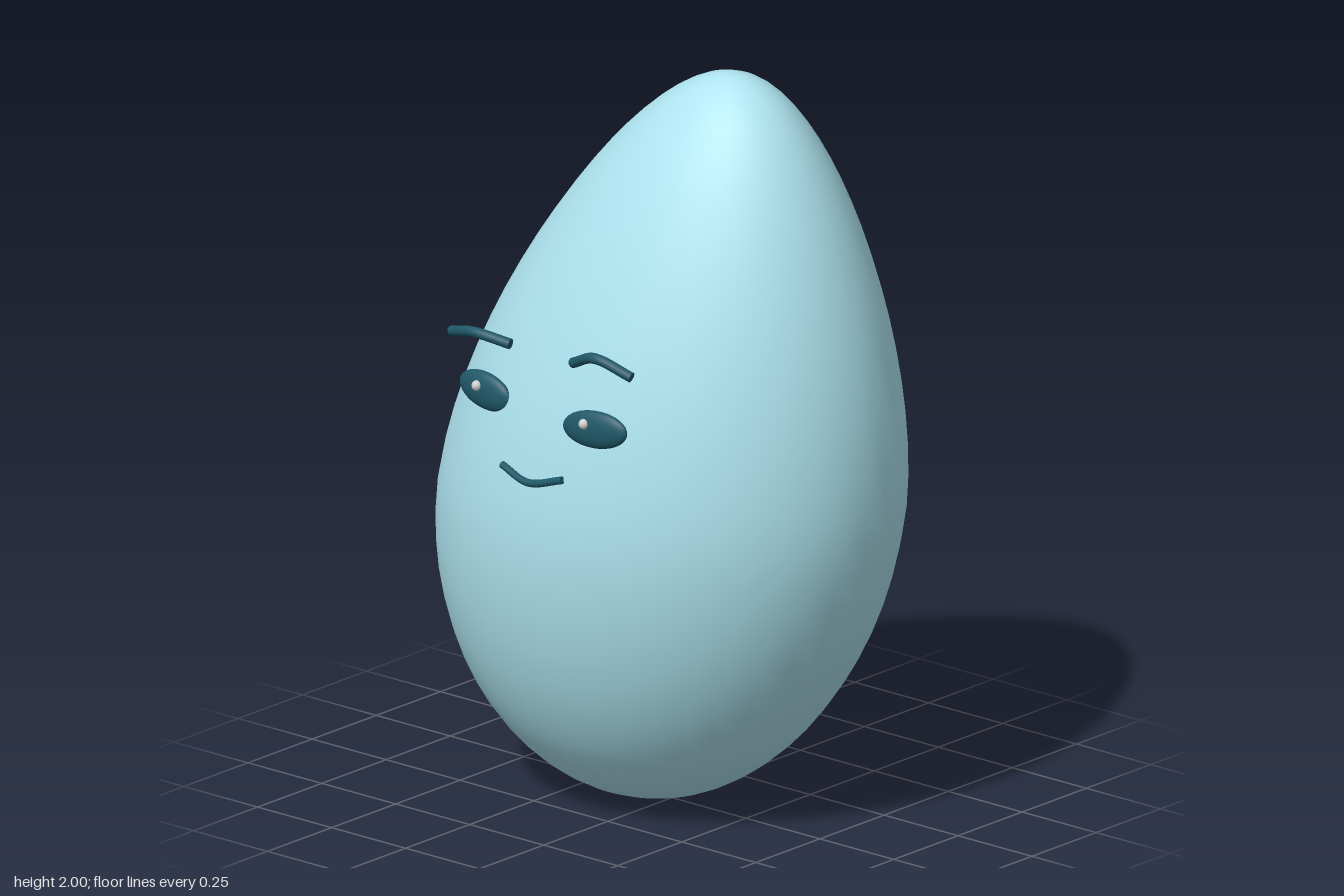
import * as THREE from 'three';
import { mergeVertices } from 'three/addons/utils/BufferGeometryUtils.js';

const skin = new THREE.MeshStandardMaterial({ color: 0xaee4f0 });
const ink = new THREE.MeshStandardMaterial({ color: 0x1f5868 });
const white = new THREE.MeshStandardMaterial({ color: 0xffffff });

const HEIGHT = 2, WIDEST = 0.83, HALF_WIDTH = 0.65, DEPTH_RATIO = 0.805;

// Half width at a height: half an ellipse below, a tapering one above
function halfWidth(y) {
  const u = y < WIDEST ? (WIDEST - y) / WIDEST : (y - WIDEST) / (HEIGHT - WIDEST);
  const taper = y < WIDEST ? 0 : 0.27 * u ** 1.4;
  return HALF_WIDTH * Math.sqrt(Math.max(0, 1 - u * u)) * (1 - taper);
}

// Sideways lean of the egg at a height
const lean = (y) => -0.09 + 0.295 * (y / HEIGHT) ** 1.33;

// Leaning egg: a lathe whose rings are shifted sideways and flattened in depth
function bodyGeometry() {
  const rows = 36;
  const profile = [];
  for (let i = 0; i <= rows; i++) {
    const y = (HEIGHT / 2) * (1 - Math.cos((Math.PI * i) / rows));
    profile.push(new THREE.Vector2(i % rows ? halfWidth(y) : 0, y));
  }
  const g = new THREE.LatheGeometry(profile, 40);
  const pos = g.attributes.position;
  for (let i = 0; i < pos.count; i++) {
    pos.setX(i, pos.getX(i) + lean(pos.getY(i)));
    pos.setZ(i, pos.getZ(i) * DEPTH_RATIO);
  }
  // join the seam so the shading is smooth all round
  g.deleteAttribute('uv');
  g.deleteAttribute('normal');
  const merged = mergeVertices(g, 1e-5);
  merged.computeVertexNormals();
  return merged;
}

function add(group, name, geometry, material) {
  const mesh = new THREE.Mesh(geometry, material);
  mesh.name = name;
  group.add(mesh);
  return mesh;
}

// Bent rod with flat closed ends
function addStroke(group, name, points, radius) {
  const curve = new THREE.CatmullRomCurve3(points.map((p) => new THREE.Vector3(...p)));
  const part = new THREE.Group();
  part.name = name;
  add(part, name + 'Rod', new THREE.TubeGeometry(curve, 20, radius, 10), ink);
  for (const t of [0, 1]) {
    const cap = add(part, name + 'End', new THREE.CircleGeometry(radius, 10), ink);
    const out = curve.getTangent(t).multiplyScalar(t ? 1 : -1);
    cap.position.copy(curve.getPoint(t));
    cap.quaternion.setFromUnitVectors(new THREE.Vector3(0, 0, 1), out);
  }
  group.add(part);
}

// Flattened eyeball with a small glint
function addEye(group, name, x, z, halfLength, tilt, turn, glintX) {
  const eye = add(group, name, new THREE.SphereGeometry(1, 32, 20), ink);
  eye.scale.set(halfLength, 0.05, 0.023);
  eye.position.set(x, 1.153, z);
  eye.rotation.set(0, turn, tilt);
  const glint = add(group, name + 'Glint', new THREE.SphereGeometry(0.014, 16, 12), white);
  glint.position.set(glintX, 1.168, z + 0.02);
}

export function createModel() {
  const model = new THREE.Group();
  model.name = 'egg';
  add(model, 'body', bodyGeometry(), skin);

  const face = new THREE.Group();
  face.name = 'face';
  model.add(face);
  addEye(face, 'rightEye', -0.253, 0.434, 0.092, -0.1, -0.08, -0.266);
  addEye(face, 'leftEye', 0.163, 0.487, 0.103, 0.1, 0.05, 0.142);
  addStroke(face, 'rightBrow', [[-0.345, 1.3, 0.46], [-0.25, 1.323, 0.482], [-0.147, 1.308, 0.46]], 0.014);
  addStroke(face, 'leftBrow', [[0.062, 1.303, 0.457], [0.16, 1.342, 0.482], [0.262, 1.308, 0.46]], 0.014);
  addStroke(face, 'mouth', [[-0.14, 0.995, 0.5], [-0.04, 0.972, 0.515], [0.072, 1.002, 0.51]], 0.01);
  return model;
}
